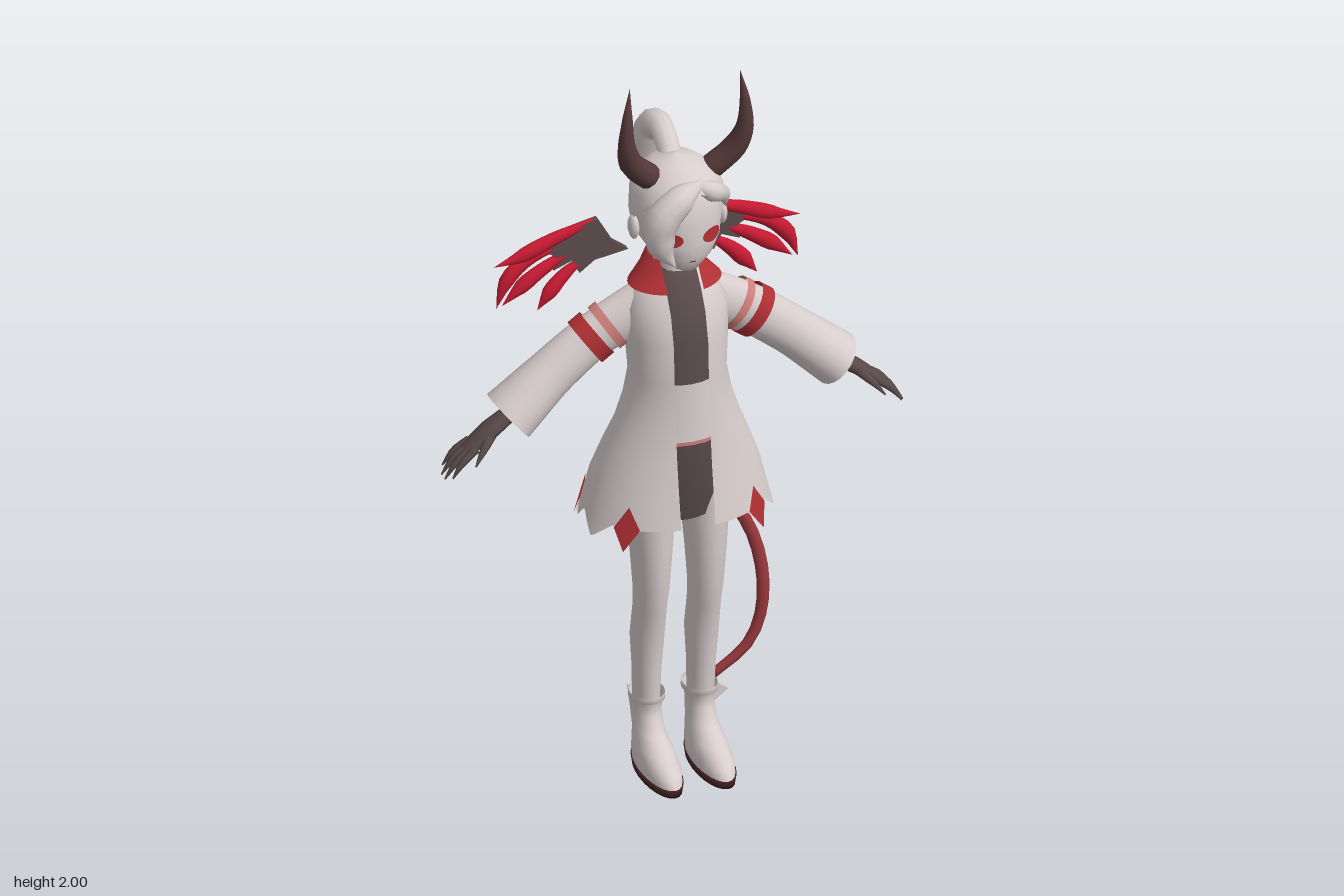
import * as THREE from 'three';

const mat = (name, color) => {
  const m = new THREE.MeshStandardMaterial({ color, side: THREE.DoubleSide });
  m.name = name;
  return m;
};
const V = (x, y, z) => new THREE.Vector3(x, y, z);
const rad = THREE.MathUtils.degToRad;

// linear lookup of a column in a table sorted by its first column
function look(table, x, col = 1) {
  let i = 0;
  while (i < table.length - 2 && x > table[i + 1][0]) i++;
  const [a, b] = [table[i], table[i + 1]];
  const t = THREE.MathUtils.clamp((x - a[0]) / (b[0] - a[0]), 0, 1);
  return a[col] + (b[col] - a[col]) * t;
}

// joins rings of points into a smooth skin
function loft(rings, closed) {
  const n = rings[0].length, idx = [];
  for (let i = 0; i < rings.length - 1; i++)
    for (let j = 0; j < (closed ? n : n - 1); j++) {
      const k = (j + 1) % n, a = i * n + j, b = i * n + k, c = b + n, d = a + n;
      idx.push(a, b, c, a, c, d);
    }
  const g = new THREE.BufferGeometry().setFromPoints(rings.flat());
  g.setIndex(idx);
  g.computeVertexNormals();
  return g;
}

// elliptical body surface from rows [y, rx, zCentre, rz]; angle 0 faces front
const surface = (table) => (a, y, off = 0) => V(
  Math.sin(a) * (look(table, y, 1) + off), y,
  look(table, y, 2) + Math.cos(a) * (look(table, y, 3) + off));

// upright skin over such rows, with optional front gap and lower edge rule
function shell(table, { n = 24, gap = 0, edge = () => -9, ys = table.map(r => r[0]) } = {}) {
  const s = surface(table);
  return loft(ys.map(y => {
    const g = gap ? Math.asin(Math.min(0.9, gap / look(table, y, 1))) : 0;
    return Array.from({ length: gap ? n + 1 : n }, (_, j) => {
      const a = g + (2 * Math.PI - 2 * g) * j / n;
      return s(a, Math.max(y, edge(a)));
    });
  }), !gap);
}

// tapered tube along a curve; radii [across, along bend plane]
function sweep(pts, radii, { n = 10, steps = 16 } = {}) {
  const curve = new THREE.CatmullRomCurve3(pts.map(p => V(...p)));
  const f = curve.computeFrenetFrames(steps);
  const tab = radii.map((r, i) => [i / (radii.length - 1), ...(Array.isArray(r) ? r : [r, r])]);
  return loft(Array.from({ length: steps + 1 }, (_, i) => {
    const u = i / steps, c = curve.getPointAt(u);
    return Array.from({ length: n }, (_, j) => {
      const a = 2 * Math.PI * j / n;
      return c.clone().addScaledVector(f.normals[i], Math.cos(a) * look(tab, u, 1))
        .addScaledVector(f.binormals[i], Math.sin(a) * look(tab, u, 2));
    });
  }), true);
}

// thin painted patch lying on a surface
function patch(s, a, y, da, dy, n, off) {
  const pts = [s(a, y, off)], idx = [];
  for (let k = 0; k < n; k++) {
    const t = 2 * Math.PI * k / n;
    pts.push(s(a + da * Math.cos(t), y + dy * Math.sin(t), off));
    idx.push(0, k + 1, (k + 1) % n + 1);
  }
  const g = new THREE.BufferGeometry().setFromPoints(pts);
  g.setIndex(idx);
  g.computeVertexNormals();
  return g;
}

const plate = (pts, depth) => new THREE.ExtrudeGeometry(
  new THREE.Shape(pts.map(p => new THREE.Vector2(...p))), { depth, bevelEnabled: false })
  .translate(0, 0, -depth / 2);

function mirrored(geo) {
  const g = geo.clone().scale(-1, 1, 1);
  const src = g.index ? Array.from(g.index.array) : Array.from({ length: g.attributes.position.count }, (_, i) => i);
  for (let i = 0; i < src.length; i += 3) [src[i], src[i + 1]] = [src[i + 1], src[i]];
  g.setIndex(src);
  return g;
}

export function createModel() {
  const root = new THREE.Group();
  const white = mat('off white', 0xd8cdcd), red = mat('trim red', 0xb03034), wingRed = mat('wing red', 0xc81a32),
    dark = mat('charcoal', 0x5a4b4b), horn = mat('horn brown', 0x573a3a), tailRed = mat('tail red', 0x98383d),
    pink = mat('soft pink', 0xcf7f7b), sole = mat('sole brown', 0x3f1f20);
  const add = (name, geo, m) => {
    const mesh = new THREE.Mesh(geo, m);
    mesh.name = name;
    root.add(mesh);
  };
  const pair = (name, geo, m) => { add(name + 'Left', geo, m); add(name + 'Right', mirrored(geo), m); };

  // head, face and neck
  const headRows = [[1.455, 0, 0.11, 0], [1.465, 0.035, 0.1, 0.045], [1.5, 0.08, 0.075, 0.085], [1.54, 0.105, 0.055, 0.11],
    [1.6, 0.114, 0.045, 0.118], [1.66, 0.11, 0.04, 0.112], [1.71, 0.08, 0.04, 0.08], [1.73, 0, 0.04, 0]];
  const head = surface(headRows);
  add('head', shell(headRows), white);
  pair('eye', patch(head, rad(29), 1.565, rad(16), 0.02, 16, 0.006), red);
  add('mouth', patch(head, 0, 1.5, rad(7), 0.002, 8, 0.004), horn);
  pair('ear', new THREE.SphereGeometry(1, 10, 8).scale(0.014, 0.034, 0.024).translate(0.118, 1.565, 0.05), white);
  add('neck', new THREE.CylinderGeometry(0.036, 0.045, 0.14, 16).translate(0, 1.43, 0.03), white);

  // hair cap, bangs and ponytail
  const hairRows = [[1.48, 0.07, 0.015, 0.07], [1.53, 0.108, 0.03, 0.1], [1.6, 0.122, 0.043, 0.12], [1.66, 0.119, 0.043, 0.121],
    [1.7, 0.1, 0.04, 0.105], [1.73, 0.06, 0.035, 0.065], [1.745, 0, 0.03, 0]];
  const hairline = [[0, 1.69], [35, 1.665], [65, 1.63], [85, 1.59], [110, 1.53], [150, 1.49], [180, 1.48]];
  const turn = a => { const d = THREE.MathUtils.radToDeg(a) % 360; return d > 180 ? 360 - d : d; };
  add('hairCap', shell(hairRows, { n: 36, edge: a => look(hairline, turn(a)) }), white);
  add('longBang', sweep([[0.04, 1.7, 0.12], [-0.03, 1.675, 0.15], [-0.08, 1.62, 0.15], [-0.08, 1.55, 0.152], [-0.045, 1.49, 0.165]],
    [0.01, 0.038, 0.046, 0.036, 0]), white);
  add('shortBang', sweep([[0.01, 1.7, 0.12], [0.06, 1.675, 0.13], [0.105, 1.64, 0.095], [0.12, 1.59, 0.075]], [0.01, 0.028, 0.022, 0]), white);
  add('ponytail', sweep([[0, 1.72, 0], [0, 1.765, -0.06], [0, 1.745, -0.13], [0, 1.64, -0.163], [0, 1.53, -0.16], [0, 1.44, -0.135]],
    [0.03, 0.033, 0.046, 0.046, 0.034, 0], { steps: 22 }), white);
  for (const [y, tilt] of [[1.71, -1.2], [1.67, -1.6], [1.63, -1.9]])
    add('ponytailSpike', new THREE.ConeGeometry(0.014, 0.05, 6).rotateX(tilt).translate(0, y, -0.208), dark);

  // horns
  pair('horn', sweep([[0.085, 1.715, 0.075], [0.135, 1.765, 0.09], [0.158, 1.83, 0.11], [0.158, 1.91, 0.115], [0.148, 1.995, 0.105]],
    [0.034, 0.032, 0.022, 0.013, 0]), horn);

  // inner clothes seen through the coat opening
  const bodyRows = [[0.74, 0.1, 0.04, 0.09], [0.85, 0.135, 0.045, 0.11], [0.97, 0.135, 0.047, 0.115], [0.98, 0.135, 0.047, 0.115],
    [1.14, 0.112, 0.047, 0.105], [1.25, 0.12, 0.04, 0.108], [1.33, 0.115, 0.032, 0.094], [1.4, 0.075, 0.025, 0.07], [1.43, 0.04, 0.025, 0.04]];
  add('shorts', shell(bodyRows.slice(0, 3)), dark);
  add('waistband', shell(bodyRows.slice(2, 4)), pink);
  add('belly', shell(bodyRows.slice(3, 5)), white);
  add('shirt', shell(bodyRows.slice(4)), dark);

  // open coat with pointed hem, diamonds and collar
  const coatRows = [[0.69, 0.265, 0.025, 0.198], [0.75, 0.247, 0.025, 0.185], [0.85, 0.222, 0.027, 0.165], [0.93, 0.192, 0.035, 0.145],
    [1.0, 0.163, 0.045, 0.128], [1.07, 0.14, 0.047, 0.12], [1.14, 0.126, 0.047, 0.117], [1.25, 0.133, 0.04, 0.118],
    [1.33, 0.134, 0.03, 0.106], [1.38, 0.108, 0.022, 0.085], [1.42, 0.065, 0.02, 0.06]];
  const hem = [[0, 0.755], [37, 0.755], [45, 0.7], [54, 0.765], [72, 0.715], [88, 0.77], [99, 0.73], [108, 0.765],
    [118, 0.7], [128, 0.765], [148, 0.725], [170, 0.765], [180, 0.7]];
  add('coat', shell(coatRows, { n: 120, gap: 0.046, edge: a => look(hem, turn(a)) }), white);
  const coat = surface(coatRows);
  for (const d of [45, 118]) pair('hemDiamond', patch(coat, rad(d), 0.758, rad(9), 0.058, 4, 0.005), red);
  add('hemDiamondBack', patch(coat, Math.PI, 0.758, rad(11), 0.058, 4, 0.005), red);
  add('collar', shell([[1.385, 0.122, 0.027, 0.094], [1.42, 0.088, 0.015, 0.08], [1.455, 0.066, 0.005, 0.068]], { n: 32, gap: 0.048 }), red);

  // sleeves, arm bands and gloves
  pair('sleeve', sweep([[0.07, 1.32, 0.015], [0.2, 1.25, 0.005], [0.31, 1.17, 0.005], [0.44, 1.06, 0.01]],
    [[0.055, 0.07], [0.046, 0.064], [0.06, 0.064], [0.083, 0.072]], { n: 20 }), white);
  pair('armBand', sweep([[0.2, 1.252, 0.005], [0.232, 1.229, 0.005]], [[0.056, 0.072], [0.056, 0.072]], { n: 20, steps: 1 }), red);
  pair('upperBand', sweep([[0.162, 1.275, 0.007], [0.182, 1.262, 0.007]], [[0.056, 0.071], [0.056, 0.071]], { n: 20, steps: 1 }), pink);
  pair('glove', sweep([[0.36, 1.12, 0.01], [0.46, 1.05, 0.01], [0.51, 1.015, 0.01], [0.555, 0.98, 0.01]],
    [[0.028, 0.028], [0.024, 0.022], [0.036, 0.02], [0.03, 0.012]]), dark);
  [-1.5, -0.5, 0.5, 1.5].forEach(k => {
    const len = 1 - 0.14 * Math.abs(k);
    pair('finger', sweep([[0.535, 0.995, 0.01 + k * 0.018], [0.535 + 0.05 * len, 0.995 - 0.037 * len, 0.01 + k * 0.023],
      [0.535 + 0.085 * len, 0.995 - 0.085 * len, 0.01 + k * 0.026]], [0.011, 0.01, 0.002], { n: 6, steps: 5 }), dark);
  });
  pair('thumb', sweep([[0.485, 1.03, 0.025], [0.525, 0.995, 0.058], [0.55, 0.965, 0.075]], [0.014, 0.011, 0.002], { n: 6, steps: 5 }), dark);

  // legs, boots, soles and heel fins
  const legRows = [[0.18, 0.034, 0.018, 0.042], [0.28, 0.037, 0.022, 0.046], [0.37, 0.043, 0.026, 0.052], [0.46, 0.042, 0.045, 0.053],
    [0.52, 0.045, 0.055, 0.057], [0.62, 0.052, 0.055, 0.066], [0.72, 0.06, 0.05, 0.074], [0.82, 0.064, 0.045, 0.08]];
  const bootRows = [[0.02, 0.048, 0.095, 0.134], [0.045, 0.05, 0.09, 0.126], [0.075, 0.045, 0.062, 0.096], [0.105, 0.038, 0.032, 0.064],
    [0.15, 0.036, 0.018, 0.049], [0.185, 0.038, 0.016, 0.049], [0.19, 0.046, 0.017, 0.057], [0.205, 0.045, 0.017, 0.056], [0.205, 0.034, 0.018, 0.042]];
  const soleRows = [[0, 0, 0.095, 0], [0.0001, 0.048, 0.095, 0.134], [0.021, 0.051, 0.095, 0.138], [0.0211, 0, 0.095, 0]];
  pair('leg', shell(legRows).translate(0.073, 0, 0), white);
  pair('boot', shell(bootRows).translate(0.071, 0, 0), white);
  pair('sole', shell(soleRows).translate(0.071, 0, 0), sole);
  pair('heelFin', plate([[0.02, 0.04], [0.06, 0.07], [0.075, 0.11], [0.098, 0.168], [0.06, 0.14], [0.04, 0.1], [0.02, 0.09]], 0.014)
    .rotateY(Math.PI / 2).translate(0.075, 0, 0), white);

  // wings: dark root plate with flattened feathers
  pair('wingRoot', plate([[0.05, 1.37], [0.09, 1.4], [0.13, 1.47], [0.2, 1.455], [0.29, 1.41], [0.245, 1.385], [0.25, 1.345],
    [0.2, 1.365], [0.18, 1.325], [0.14, 1.355]], 0.02).translate(0, 0, -0.185), dark);
  const feathers = [
    [[0.14, 1.463], [0.25, 1.432], [0.34, 1.4], [0.412, 1.385]],
    [[0.23, 1.41], [0.32, 1.385], [0.375, 1.34], [0.405, 1.265]],
    [[0.2, 1.39], [0.28, 1.35], [0.335, 1.315], [0.39, 1.27]],
    [[0.17, 1.36], [0.22, 1.325], [0.26, 1.285], [0.295, 1.24]]];
  for (const f of feathers)
    pair('wingFeather', sweep(f.map(([x, y], i) => [x, y, -0.185 + 0.004 * i]),
      [[0.008, 0.008], [0.014, 0.018], [0.017, 0.023], [0, 0]], { n: 8, steps: 10 }), wingRed);

  // tail with bow and pointed tip
  add('tail', sweep([[0, 0.97, -0.07], [0.02, 0.9, -0.17], [0.09, 0.78, -0.21], [0.15, 0.69, -0.208], [0.28, 0.5, -0.185],
    [0.305, 0.33, -0.155], [0.27, 0.19, -0.16], [0.16, 0.095, -0.17]], [0.02, 0.018, 0.017, 0.012], { n: 8, steps: 24 }), tailRed);
  add('tailTip', sweep([[0.16, 0.095, -0.17], [0.135, 0.075, -0.17], [0.105, 0.05, -0.17]], [0.004, 0.03, 0], { n: 8, steps: 8 }), red);
  add('tailBowUpper', plate([[0.16, 0.1], [0.14, 0.168], [0.105, 0.138]], 0.008).translate(0, 0, -0.17), white);
  add('tailBowLower', plate([[0.16, 0.1], [0.175, 0.028], [0.215, 0.058]], 0.008).translate(0, 0, -0.17), white);
  add('tailKnot', new THREE.SphereGeometry(0.016, 10, 8).translate(0.16, 0.1, -0.17), dark);

  return root;
}
